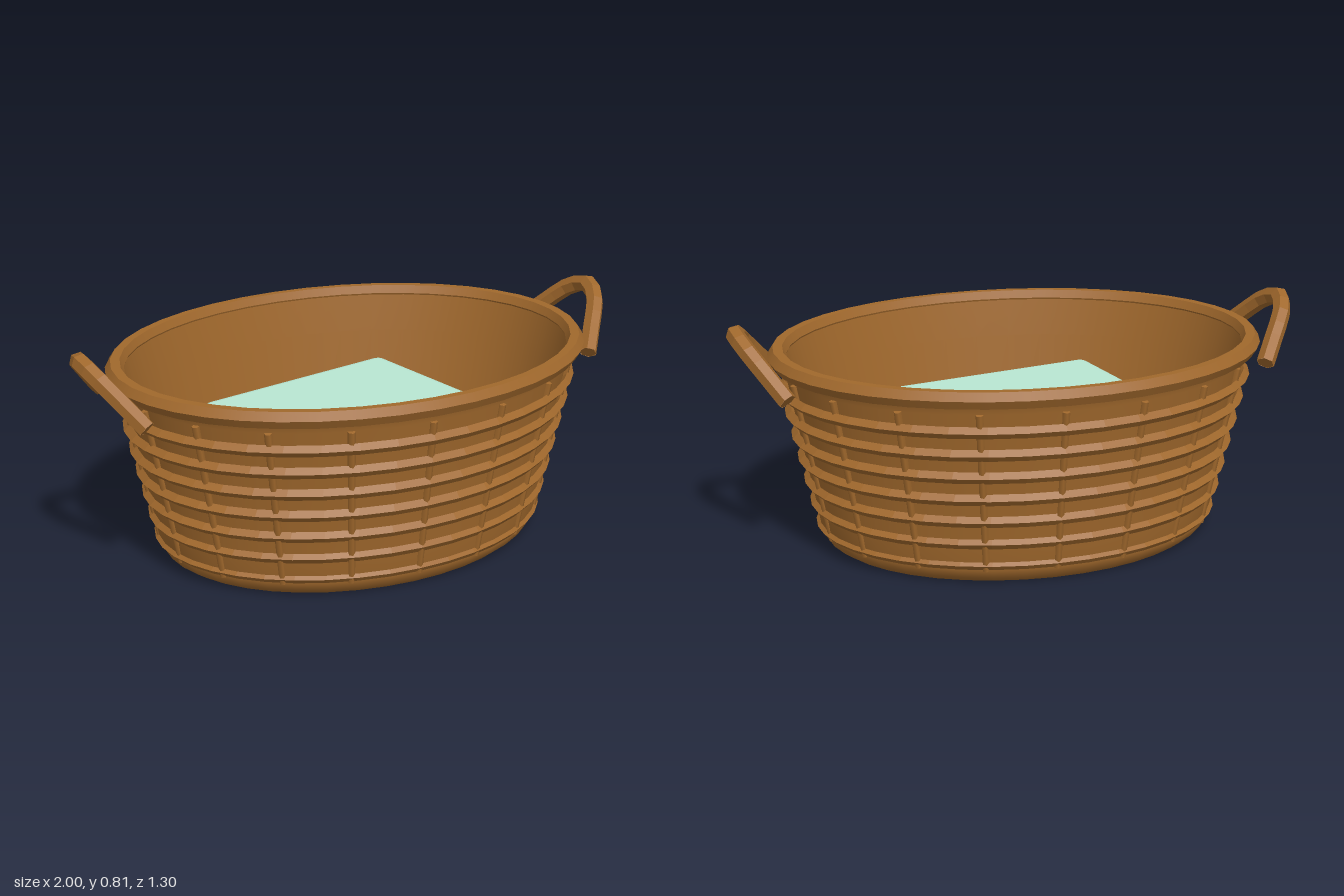
import * as THREE from 'three';
import { RoundedBoxGeometry } from 'three/addons/geometries/RoundedBoxGeometry.js';

const OVAL = 0.75; // depth of the oval relative to its width
const SEGMENTS = 40;

export function createModel() {
  const model = new THREE.Group();
  const wicker = new THREE.MeshStandardMaterial({ name: 'wicker', color: 0xa0682c, side: THREE.DoubleSide });
  const mint = new THREE.MeshStandardMaterial({ name: 'mintCloth', color: 0xb8e6d2 });
  const beige = new THREE.MeshStandardMaterial({ name: 'beigeCloth', color: 0xe6d5c0 });

  function add(parent, name, geometry, material) {
    const mesh = new THREE.Mesh(geometry, material);
    mesh.name = name;
    parent.add(mesh);
    return mesh;
  }

  function lathe(points) {
    return new THREE.LatheGeometry(points.map(([r, y]) => new THREE.Vector2(r, y)), SEGMENTS);
  }

  function faceted(geometry) {
    const flat = geometry.toNonIndexed();
    flat.computeVertexNormals();
    return flat;
  }

  // Everything round is built as a circle and squashed into an oval
  const basket = new THREE.Group();
  basket.name = 'basket';
  basket.scale.z = OVAL;
  model.add(basket);

  // Flared outer wall with a rounded foot and closed underside
  add(basket, 'outerWall', lathe([
    [0, 0], [0.58, 0], [0.65, 0], [0.68, 0.02], [0.698, 0.05], [0.713, 0.14], [0.805, 0.62], [0.825, 0.66],
  ]), wicker);

  // Smooth lining and floor
  add(basket, 'innerWall', lathe([[0.65, 0.004], [0.668, 0.08], [0.77, 0.54], [0.803, 0.68]]), wicker);
  const floor = new THREE.CircleGeometry(0.65, SEGMENTS);
  floor.rotateX(-Math.PI / 2);
  add(basket, 'floor', floor, wicker).position.y = 0.004;

  // Rim: six-sided band with a flat top
  const rimSection = [
    [0.798, 0.677], [0.812, 0.648], [0.845, 0.648], [0.864, 0.677], [0.845, 0.705], [0.812, 0.705], [0.798, 0.677],
  ];
  for (let i = 0; i < 6; i++) {
    add(basket, 'rim', lathe([rimSection[i], rimSection[i + 1]]), wicker);
  }

  // Woven bands with a sharp outer ridge
  for (let i = 0; i < 7; i++) {
    const band = new THREE.TorusGeometry(0.695 + i * 0.0192, 0.02, 4, SEGMENTS);
    band.rotateX(Math.PI / 2);
    add(basket, 'wovenBand', faceted(band), wicker).position.y = 0.07 + i * 0.0817;
  }

  // Upright stakes leaning with the wall
  const low = new THREE.Vector3();
  const high = new THREE.Vector3();
  const up = new THREE.Vector3(0, 1, 0);
  for (let i = 0; i < 18; i++) {
    const a = (i / 18) * Math.PI * 2;
    low.set(0.69 * Math.sin(a), 0.05, 0.69 * OVAL * Math.cos(a));
    high.set(0.808 * Math.sin(a), 0.62, 0.808 * OVAL * Math.cos(a));
    const stake = add(model, 'stake', new THREE.CylinderGeometry(0.013, 0.013, low.distanceTo(high), 6), wicker);
    stake.position.copy(low).add(high).multiplyScalar(0.5);
    stake.quaternion.setFromUnitVectors(up, high.clone().sub(low).normalize());
  }

  // Arched handles tilting outward at both ends
  const arch = [[0.225, 0.605], [0.16, 0.675], [0.085, 0.75], [0, 0.78], [-0.085, 0.75], [-0.16, 0.675], [-0.225, 0.605]];
  for (const side of [1, -1]) {
    const handle = new THREE.Group();
    handle.name = side > 0 ? 'leftHandle' : 'rightHandle';
    const path = new THREE.CatmullRomCurve3(
      arch.map(([z, y]) => new THREE.Vector3(side * (0.835 + (y - 0.605) * 0.77), y, z)));
    add(handle, 'handleArch', faceted(new THREE.TubeGeometry(path, 12, 0.032, 6)), wicker);
    for (const t of [0, 1]) {
      const cap = add(handle, 'handleEnd', new THREE.CircleGeometry(0.03, 6), wicker);
      cap.position.copy(path.getPoint(t));
      cap.quaternion.setFromUnitVectors(new THREE.Vector3(0, 0, 1), path.getTangent(t).multiplyScalar(t ? 1 : -1));
    }
    model.add(handle);
  }

  // Folded cloths stacked on the floor: x, y, width, depth, turn
  const cloths = [
    ['bottomCloth', mint, 0.087, 0.087, 0.83, 0.64, 0.13],
    ['middleCloth', beige, 0.025, 0.25, 0.8, 0.625, -0.08],
    ['topCloth', mint, -0.025, 0.413, 0.835, 0.615, 0.21],
  ];
  for (const [name, material, x, y, width, depth, turn] of cloths) {
    const cloth = add(model, name, new RoundedBoxGeometry(width, 0.163, depth, 4, 0.05), material);
    cloth.position.set(x, y, 0);
    cloth.rotation.y = turn;
  }

  return model;
}
